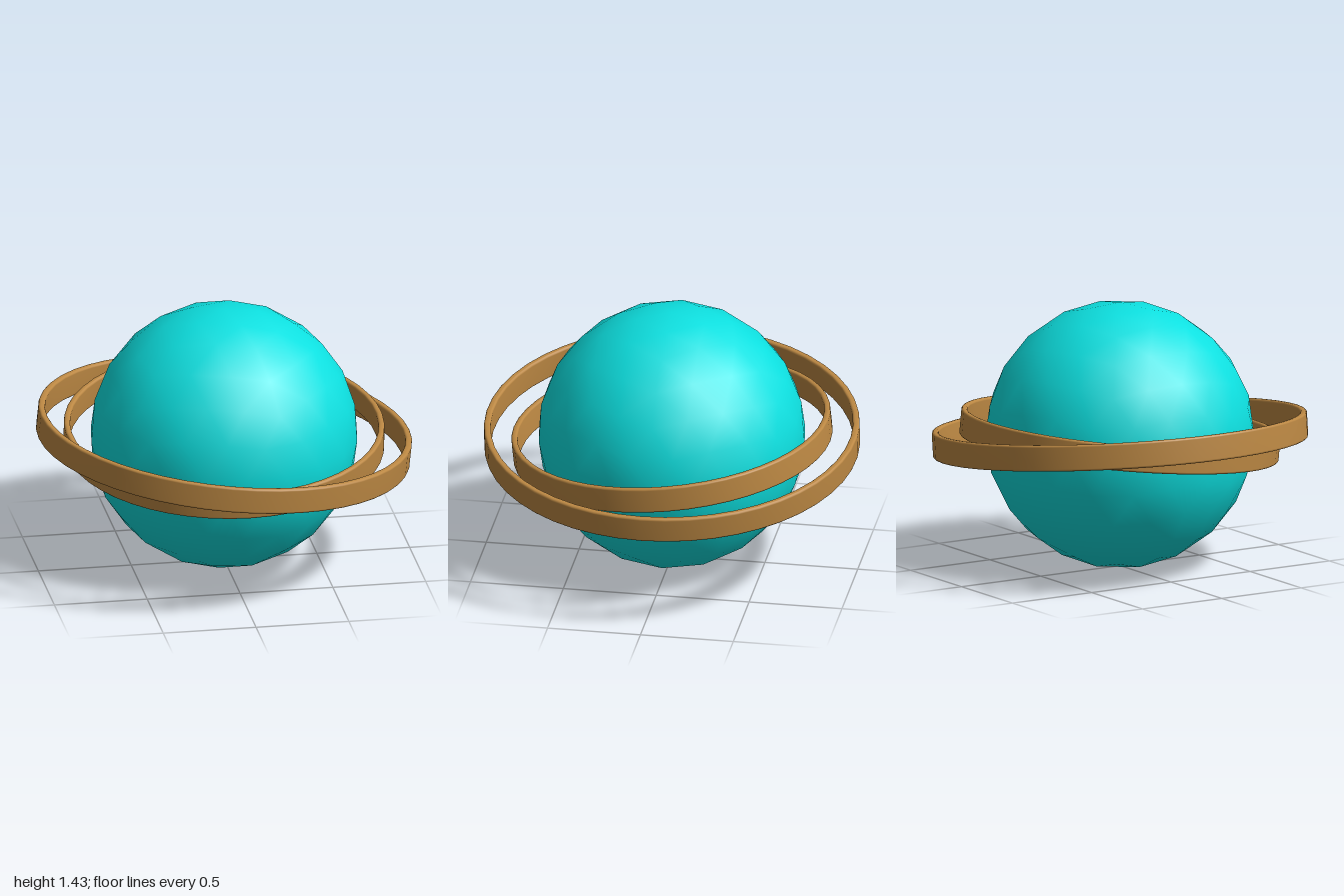
import * as THREE from 'three';

const CENTER_Y = 0.714;
const RADIUS = 0.714;
const TILT = THREE.MathUtils.degToRad(6);

// Smooth icosphere with its poles on the y axis, made by repeatedly halving edges
function icosphere(radius, levels) {
  const onRing = (y, deg) => {
    const a = THREE.MathUtils.degToRad(deg), r = Math.sqrt(1 - y * y);
    return new THREE.Vector3(r * Math.cos(a), y, r * Math.sin(a));
  };
  const h = 1 / Math.sqrt(5);
  const top = new THREE.Vector3(0, 1, 0), bottom = new THREE.Vector3(0, -1, 0);
  let faces = [];
  for (let i = 0; i < 5; i++) {
    const u0 = onRing(h, 72 * i), u1 = onRing(h, 72 * (i + 1));
    const l0 = onRing(-h, 72 * i + 36), l1 = onRing(-h, 72 * i + 108);
    faces.push([top, u1, u0], [u0, u1, l0], [u1, l1, l0], [bottom, l0, l1]);
  }
  const mid = (a, b) => a.clone().add(b).normalize();
  for (let n = 0; n < levels; n++) {
    faces = faces.flatMap(([a, b, c]) => {
      const ab = mid(a, b), bc = mid(b, c), ca = mid(c, a);
      return [[a, ab, ca], [ab, b, bc], [ca, bc, c], [ab, bc, ca]];
    });
  }
  const normals = faces.flat().flatMap((v) => v.toArray());
  const geometry = new THREE.BufferGeometry();
  geometry.setAttribute('position', new THREE.Float32BufferAttribute(normals.map((n) => n * radius), 3));
  geometry.setAttribute('normal', new THREE.Float32BufferAttribute(normals, 3));
  return geometry;
}

// Flat band with softly rounded rims, turned around the y axis
function band(outerRadius, width, height, bevel) {
  const inner = outerRadius - width, half = height / 2;
  const points = [new THREE.Vector2(inner, 0)];
  const corners = [
    [inner + bevel, -half + bevel, 180],
    [outerRadius - bevel, -half + bevel, 270],
    [outerRadius - bevel, half - bevel, 0],
    [inner + bevel, half - bevel, 90],
  ];
  for (const [x, y, start] of corners) {
    for (let k = 0; k <= 3; k++) {
      const a = THREE.MathUtils.degToRad(start + k * 30);
      points.push(new THREE.Vector2(x + bevel * Math.cos(a), y + bevel * Math.sin(a)));
    }
  }
  points.push(points[0].clone());
  return new THREE.LatheGeometry(points, 48);
}

export function createModel() {
  const model = new THREE.Group();
  model.name = 'ringedPlanet';

  const turquoise = new THREE.MeshStandardMaterial({ color: 0x0de0e0 });
  turquoise.name = 'turquoise';
  const bronze = new THREE.MeshStandardMaterial({ color: 0xbc8843 });
  bronze.name = 'bronze';

  const add = (name, geometry, material) => {
    const mesh = new THREE.Mesh(geometry, material);
    mesh.name = name;
    mesh.position.y = CENTER_Y;
    model.add(mesh);
    return mesh;
  };

  // Planet body
  add('planet', icosphere(RADIUS, 2), turquoise);

  // Outer ring leans sideways, inner ring leans forward
  add('outerRing', band(0.998, 0.036, 0.14, 0.012), bronze).rotation.z = -TILT;
  add('innerRing', band(0.852, 0.033, 0.14, 0.012), bronze).rotation.x = TILT;

  return model;
}
